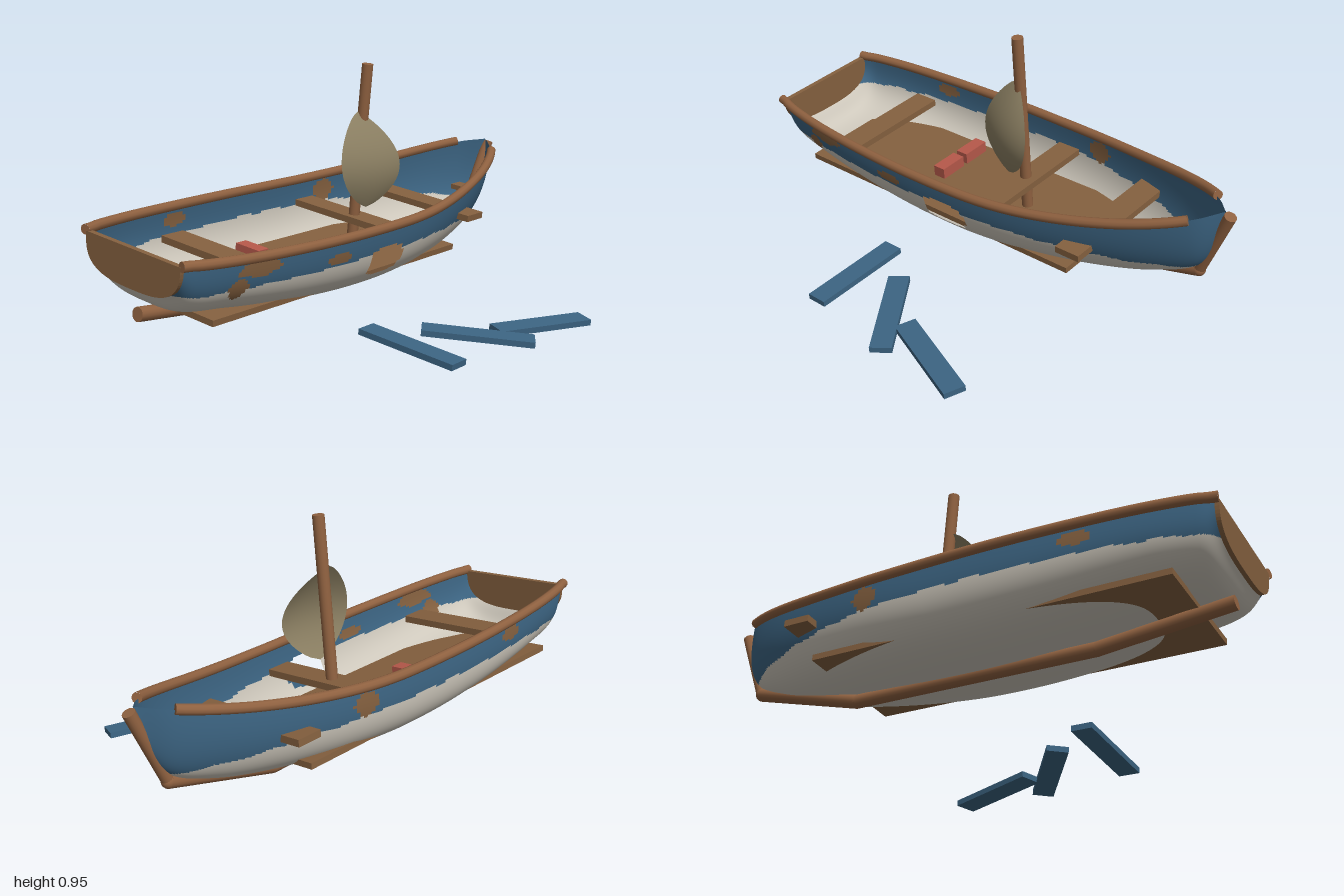
import * as THREE from 'three';

const mat = (name, color, side = THREE.FrontSide) => {
  const m = new THREE.MeshStandardMaterial({ color, side });
  m.name = name;
  return m;
};
const V = (x, y, z) => new THREE.Vector3(x, y, z);

// Hull stations: half width, keel height, z, from stern to bow
const stations = new THREE.CatmullRomCurve3([
  [0.222, 0.175, 0.985], [0.242, 0.115, 0.93], [0.273, 0.085, 0.75], [0.297, 0.045, 0.45], [0.303, 0.025, 0.15],
  [0.285, 0.03, -0.2], [0.228, 0.055, -0.5], [0.16, 0.10, -0.72], [0.085, 0.17, -0.87], [0.002, 0.32, -0.955],
].map((p) => V(...p)));
const sheer = (z) => 0.29 + (z > 0 ? 0.02 : 0.14) * z * z;

// Point of the rounded cross-section, u from -1 (right edge) to 1 (left edge)
function sectionPoint(t, u) {
  const { x: w, y: b, z } = stations.getPoint(t);
  const n = 3 - 0.9 * Math.max(0, -z), a = Math.abs(u) * Math.PI / 2, s = sheer(z);
  const x = Math.sign(u) * w * Math.pow(Math.sin(a), 2 / n);
  const y = s - (s - b) * Math.pow(Math.max(0, Math.cos(a)), 2 / n);
  return V(x, y, z);
}

// Worn paint: side, z, y, radius in z, radius in y
const patches = [
  [1, 0.7, 0.262, 0.085, 0.03], [1, 0.78, 0.2, 0.035, 0.035], [1, 0.33, 0.225, 0.055, 0.02],
  [-1, -0.23, 0.24, 0.05, 0.045], [-1, 0.55, 0.25, 0.05, 0.025],
];

// 0 = top paint, 1 = bottom paint, 2 = bare wood, -1 = hole
function hullColour(p) {
  if (p.x > 0 && ((p.z - 0.06) / 0.095) ** 4 + ((p.y - 0.162) / 0.052) ** 4 < 1) return -1;
  for (const [side, z, y, rz, ry] of patches) {
    const wobble = 1 + 0.3 * Math.sin(p.z * 70) * Math.cos(p.y * 90);
    if (p.x * side > 0 && ((p.z - z) / rz) ** 2 + ((p.y - y) / ry) ** 2 < wobble) return 2;
  }
  const line = 0.197 - 0.035 * Math.min(0, p.z) ** 2 + 0.003 * Math.sin(p.z * 40);
  return p.y > line ? 0 : 1;
}

function buildHull(materials) {
  const NZ = 180, NU = 110, pos = [], lists = [[], [], []];
  for (let i = 0; i <= NZ; i++)
    for (let j = 0; j <= NU; j++) pos.push(...sectionPoint(i / NZ, 2 * j / NU - 1).toArray());
  for (let i = 0; i < NZ; i++)
    for (let j = 0; j < NU; j++) {
      const c = hullColour(sectionPoint((i + 0.5) / NZ, 2 * (j + 0.5) / NU - 1));
      if (c < 0) continue;
      const a = i * (NU + 1) + j, d = a + NU + 1;
      lists[c].push(a, d, a + 1, a + 1, d, d + 1);
    }
  // Wind the faces so that the outside is the front
  const index = lists.map((l) => {
    for (let k = 0; k < l.length; k += 3) [l[k + 1], l[k + 2]] = [l[k + 2], l[k + 1]];
    return l;
  });
  const g = new THREE.BufferGeometry();
  g.setAttribute('position', new THREE.Float32BufferAttribute(pos, 3));
  g.setIndex(index.flat());
  let start = 0;
  index.forEach((l, k) => { g.addGroup(start, l.length, k); start += l.length; });
  g.computeVertexNormals();
  return new THREE.Mesh(g, materials);
}

export function createModel() {
  const trim = mat('trimWood', 0x8f6140);
  const board = mat('boardWood', 0x84603f);
  const blue = mat('bluePaint', 0x3c6482);
  const hullBlue = mat('hullBlue', 0x3c6482, THREE.DoubleSide);
  const hullWhite = mat('hullWhite', 0xcdc7bb, THREE.DoubleSide);
  const bare = mat('bareWood', 0x84603f, THREE.DoubleSide);
  const canvas = mat('canvas', 0x8c8063, THREE.DoubleSide);
  const red = mat('redBrick', 0xb5584a);

  const model = new THREE.Group();
  model.name = 'wreckedBoat';
  const boat = new THREE.Group();
  boat.name = 'heeledBoat';
  boat.position.set(-0.285, 0.145, 0);
  boat.rotation.z = -0.12;
  model.add(boat);

  const add = (name, geometry, material, x = 0, y = 0, z = 0) => {
    const m = new THREE.Mesh(geometry, material);
    m.name = name;
    m.position.set(x, y, z);
    boat.add(m);
    return m;
  };
  const box = (name, material, w, h, d, x, y, z) => add(name, new THREE.BoxGeometry(w, h, d), material, x, y, z);
  const rod = (name, a, b, r) => {
    const dir = b.clone().sub(a);
    const m = add(name, new THREE.CylinderGeometry(r, r, dir.length(), 16), trim);
    m.position.copy(a).add(b).multiplyScalar(0.5);
    m.quaternion.setFromUnitVectors(V(0, 1, 0), dir.normalize());
  };

  // Hull shell with its hole and worn paint
  const hull = buildHull([hullBlue, hullWhite, bare]);
  hull.name = 'hull';
  boat.add(hull);

  // Transom closes the stern
  const outline = [];
  for (let j = 0; j <= 40; j++) {
    const p = sectionPoint(0, j / 20 - 1);
    outline.push(new THREE.Vector2(p.x, p.y));
  }
  add('transom', new THREE.ExtrudeGeometry(new THREE.Shape(outline), { depth: 0.02, bevelEnabled: false }), board, 0, 0, 0.98);

  // Rails along both top edges, with capped ends
  for (const side of [-1, 1]) {
    const pts = [];
    for (let i = 0; i <= 24; i++) {
      const p = sectionPoint(i / 24 * 8 / 9, side);
      pts.push(V(p.x + side * 0.005, p.y + 0.003, p.z));
    }
    pts[0].z = 1;
    add('rail', new THREE.TubeGeometry(new THREE.CatmullRomCurve3(pts), 60, 0.018, 10), trim);
    for (const [end, next] of [[pts[0], pts[1]], [pts[24], pts[23]]]) {
      const cap = add('railEnd', new THREE.CircleGeometry(0.018, 10), trim, ...end.toArray());
      cap.quaternion.setFromUnitVectors(V(0, 0, 1), end.clone().sub(next).normalize());
    }
  }

  // Keel in three lengths, and the stem post
  const keel = [V(0, 0.08, 0.965), V(0, 0.023, 0.5), V(0, 0.023, -0.42), V(0, 0.14, -0.86)];
  for (let i = 0; i < 3; i++) {
    rod('keel', keel[i], keel[i + 1], 0.025);
    add('keelJoint', new THREE.SphereGeometry(0.025, 16, 10), trim, ...keel[i + 1].toArray());
  }
  rod('stemPost', keel[3], V(0, 0.405, -0.975), 0.022);

  // Floor, benches and bow brace
  box('floor', board, 0.45, 0.022, 1.31, 0, 0.09, 0.195);
  box('bowBench', board, 0.56, 0.025, 0.1, 0, 0.218, -0.51);
  box('mastBench', board, 0.52, 0.025, 0.095, 0, 0.218, -0.102);
  box('sternBench', board, 0.445, 0.025, 0.1, 0, 0.218, 0.622);
  box('bowBrace', board, 0.09, 0.02, 0.06, 0, 0.22, -0.83);

  // Mast
  rod('mast', V(0, 0.09, -0.1), V(0, 0.81, -0.1), 0.021);

  // Torn leaf-shaped sail, twisted and cupped beside the mast
  const sail = new THREE.PlaneGeometry(2, 1, 12, 24);
  const sp = sail.attributes.position;
  for (let i = 0; i < sp.count; i++) {
    const s = sp.getX(i), v = sp.getY(i) + 0.5;
    const half = 0.125 * Math.pow(Math.max(0, Math.sin(Math.PI * Math.pow(v, 0.92))), 0.75);
    const x = 0.07 - 0.08 * v * v + 0.045 * Math.sin(Math.PI * v) - 0.02 * s * s * Math.sin(Math.PI * v);
    sp.setXYZ(i, x + 0.3 * s * half, 0.28 + 0.35 * v, -0.078 - s * half);
  }
  sail.computeVertexNormals();
  add('sail', sail, canvas);

  // Two bricks on the floor
  for (const x of [-0.138, -0.004]) box('brick', red, 0.115, 0.045, 0.052, x, 0.122, 0.305);

  // Loose planks beside the boat: x, z, turn
  for (const [x, z, turn] of [[0.582, 0.26, 0], [0.672, -0.01, 0.61], [0.761, -0.285, 1.19]])
    box('loosePlank', blue, 0.4, 0.022, 0.08, x, -0.026, z).rotation.y = turn;

  return model;
}
